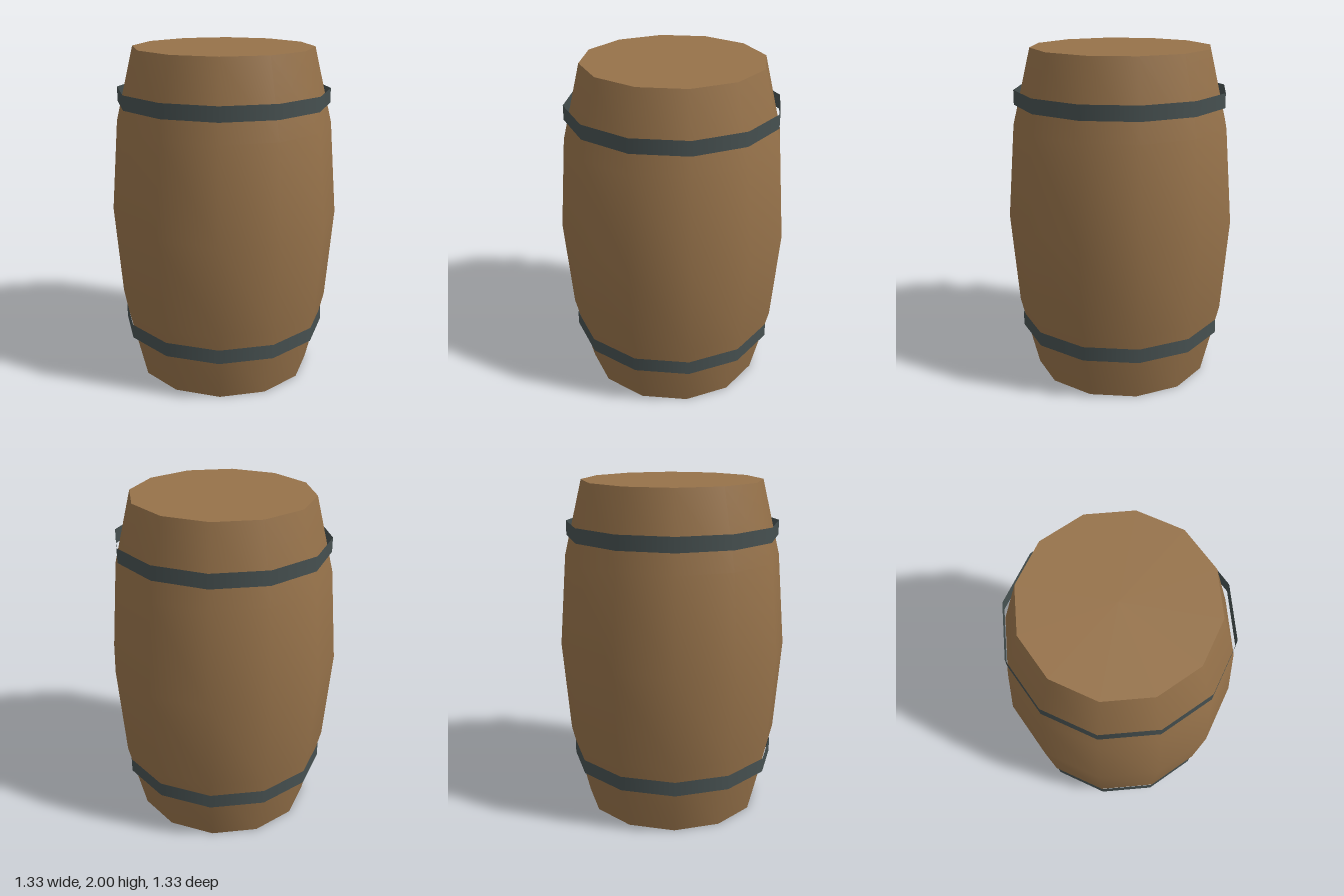
import * as THREE from 'three';

const SIDES = 12;
const TURN = Math.PI / SIDES; // half a side, so flats face the axes
const corner = (flat) => flat / Math.cos(TURN); // flat distance -> corner radius

export function createModel() {
  const wood = new THREE.MeshStandardMaterial({ color: 0x96724a });
  wood.name = 'wood';
  const iron = new THREE.MeshStandardMaterial({ color: 0x465050, side: THREE.DoubleSide });
  iron.name = 'iron';

  const barrel = new THREE.Group();
  barrel.name = 'barrel';
  const add = (name, geometry, material) => {
    const mesh = new THREE.Mesh(geometry, material);
    mesh.name = name;
    barrel.add(mesh);
    return mesh;
  };

  // Bulging body, smooth around its sides
  const profile = [[0.516, 0], [0.62, 0.445], [0.663, 1], [0.62, 1.555], [0.516, 2]]
    .map(([flat, y]) => new THREE.Vector2(corner(flat), y));
  add('body', new THREE.LatheGeometry(profile, SIDES, TURN), wood);

  // Flat lid and base
  for (const [name, y, tilt] of [['lid', 2, -1], ['base', 0, 1]]) {
    const disc = new THREE.CircleGeometry(corner(0.516), SIDES, TURN);
    disc.rotateX(tilt * Math.PI / 2);
    add(name, disc, wood).position.y = y;
  }

  // Thin open hoops, the upper one standing a little clear of the body
  for (const [name, flat, y] of [['lowerHoop', 0.602, 0.312], ['upperHoop', 0.611, 1.717]]) {
    const r = corner(flat);
    const hoop = new THREE.CylinderGeometry(r, r, 0.086, SIDES, 1, true, TURN);
    add(name, hoop, iron).position.set(-0.002, y, 0.002);
  }
  return barrel;
}
